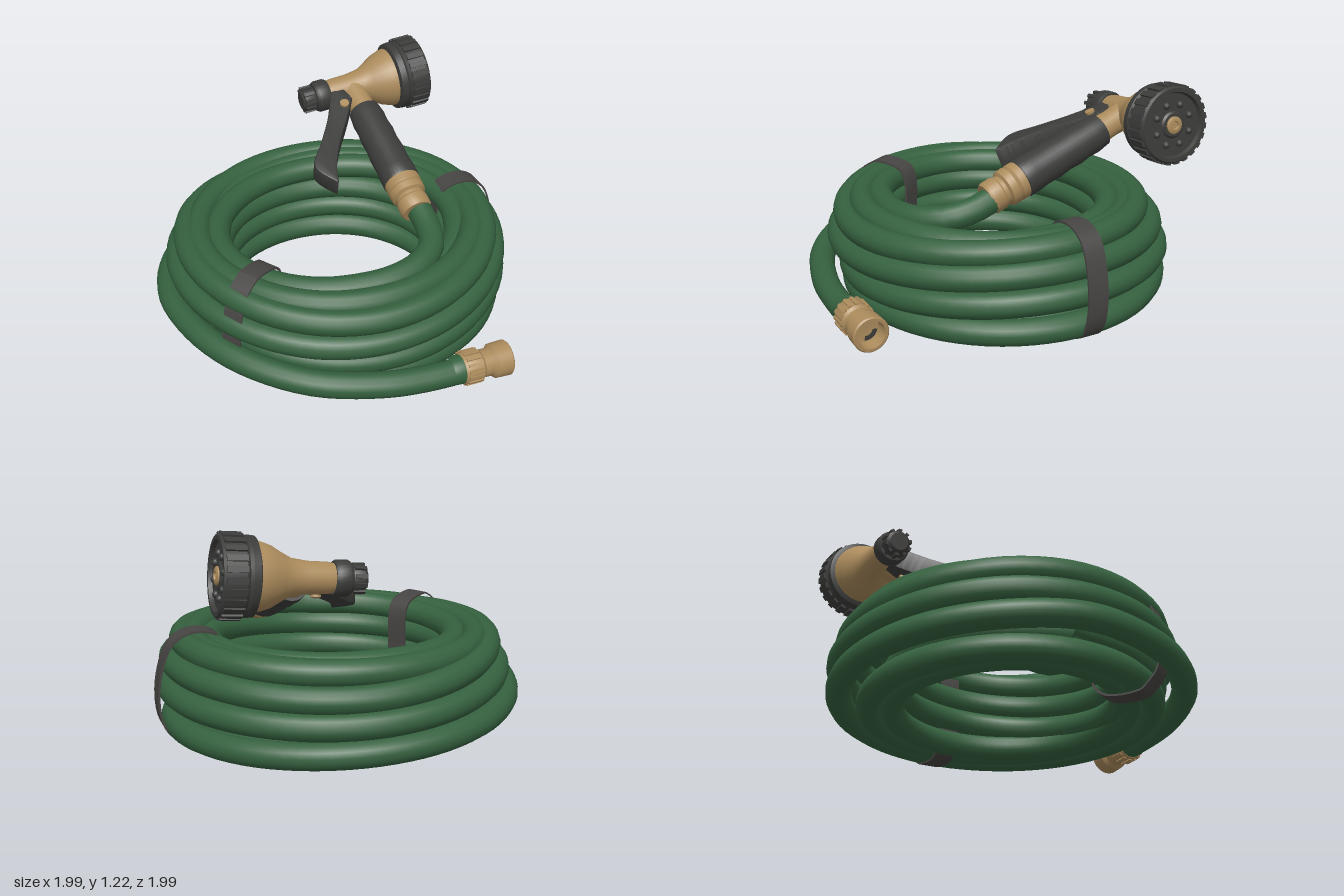
import * as THREE from 'three';
import { toCreasedNormals } from 'three/addons/utils/BufferGeometryUtils.js';

const material = (name, color) => {
  const m = new THREE.MeshStandardMaterial({ color });
  m.name = name;
  return m;
};
const V = (x, y, z) => new THREE.Vector3(x, y, z);
const V2 = ([x, y]) => new THREE.Vector2(x, y);
const HOSE_R = 0.069, COIL_Z = -0.08;

export function createModel() {
  const model = new THREE.Group();
  model.name = 'coiledGardenHose';
  const green = material('hoseGreen', 0x35613f);
  const dark = material('gripBlack', 0x3c3d3b);
  const strapGrey = material('strapGrey', 0x474543);
  const brass = material('brassTan', 0xab8b5c);

  const add = (parent, name, geometry, mat) => {
    const mesh = new THREE.Mesh(geometry, mat);
    mesh.name = name;
    parent.add(mesh);
    return mesh;
  };
  // profile pairs are [radius, height], bottom to top
  const lathe = (profile, sides = 28) => toCreasedNormals(
    new THREE.LatheGeometry(profile.map(V2), sides), 0.6);
  const alongX = (geometry) => geometry.rotateZ(-Math.PI / 2);

  // Coil path: one [radius, height] key for each quarter turn
  const coil = (keys, startQuarter, dir) => {
    const spline = new THREE.CatmullRomCurve3(keys.map(([r, y]) => V(r, y, 0)), false, 'catmullrom');
    const n = (keys.length - 1) * 4, points = [];
    for (let i = 0; i <= n; i++) {
      const p = spline.getPoint(i / n), t = dir * (startQuarter + i / 4) * Math.PI / 2;
      points.push(V(p.x * Math.sin(t), p.y, COIL_Z + p.x * Math.cos(t)));
    }
    return points;
  };
  const hose = (name, points) => add(model, name, new THREE.TubeGeometry(
    new THREE.CatmullRomCurve3(points), points.length * 4, HOSE_R, 14), green);

  // Bottom loops running out to the free end
  hose('lowerHose', [
    ...coil([[0.73, 0.2], [0.68, 0.09], [0.74, 0.08], [0.69, 0.085], [0.76, 0.105],
      [0.795, 0.08], [0.89, 0.095], [0.85, 0.145], [0.93, 0.22]], 3, 1),
    V(-0.87, 0.212, 0.24), V(-0.7, 0.195, 0.54), V(-0.4, 0.17, 0.79),
    V(-0.05, 0.147, 0.898), V(0.18, 0.137, 0.915), V(0.4, 0.135, 0.91)]);

  // Outer loops climbing to the top
  hose('outerHose', coil([[0.75, 0.23], [0.815, 0.18], [0.91, 0.27], [0.845, 0.285], [0.86, 0.36],
    [0.86, 0.325], [0.89, 0.41], [0.805, 0.405], [0.81, 0.49], [0.825, 0.445], [0.83, 0.51], [0.72, 0.51],
    [0.74, 0.5], [0.735, 0.5], [0.77, 0.51], [0.66, 0.49], [0.7, 0.45], [0.7, 0.38]], 3, 1));

  // Inner loops, led up to the spray gun
  hose('innerHose', [
    V(0.415, 0.65, 0.12), V(0.425, 0.6, 0.26), V(0.395, 0.568, 0.39), V(0.28, 0.545, 0.5), V(0.14, 0.53, 0.545),
    ...coil([[0.63, 0.52], [0.64, 0.49], [0.565, 0.5], [0.69, 0.495], [0.63, 0.4], [0.63, 0.39],
      [0.565, 0.37], [0.65, 0.35], [0.63, 0.27], [0.63, 0.25], [0.565, 0.24], [0.64, 0.22],
      [0.63, 0.14], [0.63, 0.12], [0.57, 0.095], [0.64, 0.08], [0.67, 0.095], [0.73, 0.2]], 0, -1)]);

  // Straps: closed bands around the coil section
  const strap = (name, angle, inner, reach, bottom) => {
    const loop = [[inner, 0.28], [inner, 0.5], [inner + 0.04, 0.57], [0.74, 0.597],
      [reach - 0.16, 0.592], [reach - 0.075, 0.535], [reach - 0.02, 0.4], [reach, 0.24],
      [reach - 0.02, 0.11], [reach - 0.075, 0.03 + bottom], [0.8, bottom], [inner + 0.07, bottom + 0.004], [inner, 0.08]];
    const curve = new THREE.CatmullRomCurve3(loop.map(([r, y]) => V(r, y, 0)), true);
    const outer = curve.getPoints(52).slice(0, -1).map((p) => V2([p.x, p.y]));
    const shape = new THREE.Shape(outer);
    shape.holes.push(new THREE.Path(outer.map((p) => V2([0.77 + (p.x - 0.77) * 0.95, 0.3 + (p.y - 0.3) * 0.965]))));
    const g = new THREE.ExtrudeGeometry(shape, { depth: 0.115, bevelEnabled: false }).translate(0, 0, -0.0575);
    const mesh = add(model, name, toCreasedNormals(g, 0.7), strapGrey);
    mesh.rotation.y = angle - Math.PI / 2;
    mesh.position.z = COIL_Z;
  };
  strap('rightStrap', 1.65, 0.63, 0.995, 0.002);
  strap('leftStrap', -0.93, 0.545, 0.915, 0.014);

  // Coupling at the free end
  const coupling = new THREE.Group();
  coupling.name = 'endCoupling';
  coupling.position.set(0.36, 0.138, 0.905);
  coupling.rotation.set(0, 0.06, -0.03);
  model.add(coupling);
  add(coupling, 'couplingBody', alongX(lathe([[0, 0], [0.08, 0], [0.086, 0.01], [0.086, 0.1], [0.074, 0.115],
    [0.074, 0.165], [0.092, 0.185], [0.095, 0.265], [0.088, 0.272], [0.074, 0.272], [0.068, 0.2], [0, 0.19]])), brass);
  add(coupling, 'hoseCuff', alongX(lathe([[0.069, -0.06], [0.076, -0.04], [0.078, 0.005]])), green);
  add(coupling, 'washer', new THREE.RingGeometry(0.035, 0.06, 12, 1, -1.75, 1.6)
    .rotateY(Math.PI / 2).translate(0.204, 0, 0), dark);
  for (let i = 0; i < 16; i++) {
    const rib = add(coupling, 'couplingRib', new THREE.BoxGeometry(0.085, 0.014, 0.016).translate(0.055, 0.086, 0), brass);
    rib.rotation.x = i * Math.PI / 8;
  }

  // Spray gun, built with its barrel along x and its handle down -y
  const gun = new THREE.Group();
  gun.name = 'sprayGun';
  const X = V(1, 0.09, -0.05).normalize();
  const Z = X.clone().cross(V(-0.1, 0.36, -0.93)).normalize();
  gun.quaternion.setFromRotationMatrix(new THREE.Matrix4().makeBasis(X, Z.clone().cross(X), Z));
  gun.position.set(0.33, 0.973, -0.697);
  model.add(gun);

  // Barrel, neck and hose connector
  add(gun, 'barrel', alongX(lathe([[0, -0.17], [0.07, -0.17], [0.078, -0.12], [0.08, -0.02], [0.092, 0.06],
    [0.118, 0.11], [0.148, 0.16], [0.165, 0.21], [0.172, 0.27], [0, 0.27]])), brass);
  add(gun, 'neck', lathe([[0.075, -0.22], [0.07, -0.12], [0.078, 0]]), brass);
  add(gun, 'hoseConnector', lathe([[0, -0.93], [0.08, -0.93], [0.088, -0.915], [0.088, -0.86], [0.08, -0.85],
    [0.08, -0.83], [0.097, -0.82], [0.1, -0.78], [0.092, -0.77], [0.1, -0.76], [0.1, -0.71], [0, -0.71]]), brass);
  add(gun, 'handleGrip', lathe([[0, -0.73], [0.094, -0.73], [0.104, -0.715], [0.104, -0.65], [0.099, -0.6],
    [0.102, -0.52], [0.096, -0.45], [0.1, -0.38], [0.094, -0.32], [0.097, -0.26], [0.088, -0.19], [0, -0.19]]), dark);

  // Spray head with ridged rim and nozzle buttons
  add(gun, 'sprayHead', alongX(lathe([[0, 0.235], [0.165, 0.235], [0.192, 0.245], [0.196, 0.28], [0.186, 0.295],
    [0.198, 0.31], [0.2, 0.405], [0.19, 0.42], [0.17, 0.42], [0.162, 0.4], [0.07, 0.4], [0.06, 0.41], [0, 0.41]], 40)), dark);
  for (let i = 0; i < 24; i++) {
    const ridge = add(gun, 'rimRidge', new THREE.BoxGeometry(0.1, 0.016, 0.03).translate(0.358, 0.2, 0), dark);
    ridge.rotation.x = i * Math.PI / 12;
  }
  for (let i = 0; i < 8; i++) {
    const a = i * Math.PI / 4;
    const button = add(gun, 'nozzleButton', new THREE.SphereGeometry(0.019, 12, 8), dark);
    button.position.set(0.402, 0.108 * Math.cos(a), 0.108 * Math.sin(a));
  }
  add(gun, 'nozzleHub', alongX(lathe([[0.045, 0.4], [0.045, 0.418], [0.035, 0.424], [0.022, 0.424],
    [0.018, 0.416], [0, 0.416]], 16)), brass);

  // Rear collar and adjusting knob
  add(gun, 'rearCollar', alongX(lathe([[0, -0.235], [0.08, -0.235], [0.09, -0.22], [0.09, -0.165],
    [0.082, -0.15], [0, -0.15]])), dark);
  add(gun, 'adjustingKnob', alongX(lathe([[0, -0.315], [0.05, -0.315], [0.066, -0.3], [0.07, -0.25],
    [0.06, -0.23]])), dark);
  for (let i = 0; i < 10; i++) {
    const rib = add(gun, 'knobRib', new THREE.BoxGeometry(0.06, 0.014, 0.02).translate(-0.275, 0.07, 0), dark);
    rib.rotation.x = i * Math.PI / 5;
  }

  // Trigger lever and its pivot
  const lever = new THREE.Shape();
  lever.moveTo(-0.14, -0.04);
  lever.splineThru([[-0.225, -0.21], [-0.325, -0.36], [-0.42, -0.5], [-0.35, -0.63]].map(V2));
  lever.splineThru([[-0.32, -0.53], [-0.245, -0.39], [-0.14, -0.24], [-0.06, -0.12]].map(V2));
  lever.lineTo(-0.08, -0.04);
  const leverGeometry = new THREE.ExtrudeGeometry(lever, {
    depth: 0.1, bevelThickness: 0.012, bevelSize: 0.01, bevelSegments: 2, curveSegments: 12 }).translate(0, 0, -0.05);
  add(gun, 'trigger', toCreasedNormals(leverGeometry, 0.6), dark);
  add(gun, 'triggerPivot', new THREE.CylinderGeometry(0.026, 0.026, 0.15, 14).rotateX(Math.PI / 2).translate(-0.11, -0.15, 0), brass);

  return model;
}
